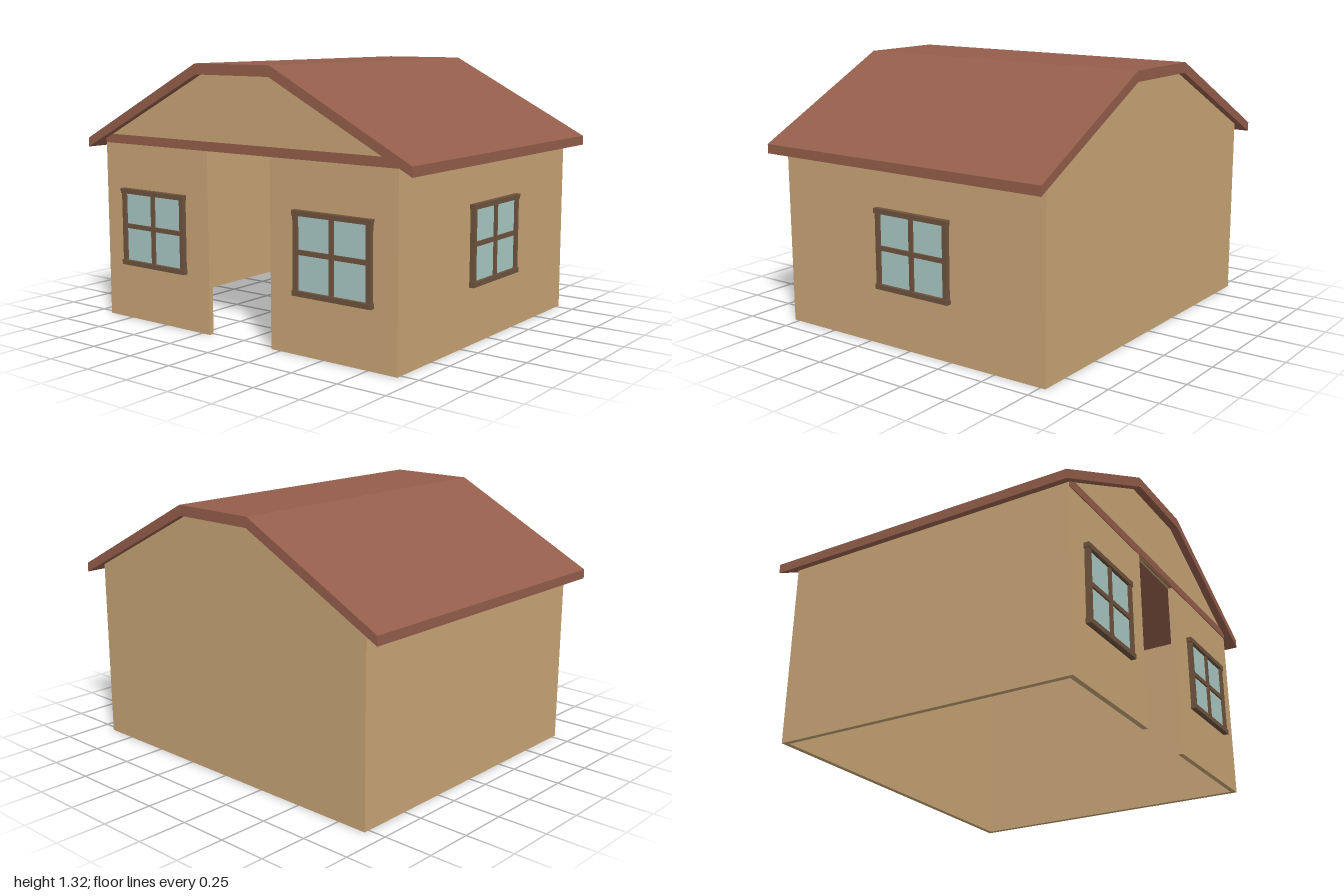
import * as THREE from 'three';

const mat = (color) => new THREE.MeshStandardMaterial({ color, flatShading: true });
const wallMat = mat(0xc8a576);
const roofMat = mat(0x945e4b);
const frameMat = mat(0x6f533e);
const glassMat = mat(0xaacac5);

const W = 0.907, D = 0.778, T = 0.025; // half width, half depth, wall thickness

function box(name, w, h, d, x, y, z, material) {
  const m = new THREE.Mesh(new THREE.BoxGeometry(w, h, d), material);
  m.name = name;
  m.position.set(x, y, z);
  return m;
}

// Extrudes an outline along z, from z0 over the given depth
function slab(name, points, z0, depth, material) {
  const shape = new THREE.Shape(points.map(([x, y]) => new THREE.Vector2(x, y)));
  const geo = new THREE.ExtrudeGeometry(shape, { depth, bevelEnabled: false });
  const m = new THREE.Mesh(geo, material);
  m.name = name;
  m.position.z = z0;
  return m;
}

// Four-pane window facing +z, its back on z = 0
function makeWindow(name) {
  const g = new THREE.Group();
  g.name = name;
  const w = 0.44, h = 0.395;
  g.add(box('glass', w - 0.03, h - 0.03, 0.012, 0, 0, 0.004, glassMat));
  for (const s of [-1, 1]) {
    g.add(box('rail', w, 0.025, 0.03, 0, s * (h / 2 - 0.0125), 0.012, frameMat));
    g.add(box('stile', 0.024, h - 0.04, 0.026, s * (w / 2 - 0.017), 0, 0.01, frameMat));
  }
  g.add(box('verticalBar', 0.023, h - 0.04, 0.022, 0, 0, 0.009, frameMat));
  g.add(box('horizontalBar', w - 0.04, 0.023, 0.02, 0, 0.005, 0.009, frameMat));
  return g;
}

export function createModel() {
  const house = new THREE.Group();
  house.name = 'house';

  // End walls with clipped gables; the front one has a doorway
  const gable = [[W, 0], [W, 0.93], [0.225, 1.275], [-0.225, 1.275], [-W, 0.93], [-W, 0]];
  const doorway = [[-0.197, 0], [-0.197, 0.905], [0.197, 0.905], [0.197, 0]];
  house.add(slab('backWall', gable, -D, T, wallMat));
  house.add(slab('frontWall', [...gable, ...doorway], D - T, T, wallMat));

  // Side walls
  for (const s of [-1, 1]) {
    house.add(box(s > 0 ? 'leftWall' : 'rightWall', T, 0.945, 2 * (D - T),
      s * (W - T / 2), 0.4725, 0, wallMat));
  }

  // Trim board across the front, at the foot of the gable
  house.add(box('frontTrim', 2 * W - 0.004, 0.045, 0.016, 0, 0.9275, D - 0.004, roofMat));

  // Roof shell with a flat ridge
  house.add(slab('roof', [
    [1, 0.878], [1, 0.925], [0.23, 1.322], [-0.23, 1.322], [-1, 0.925],
    [-1, 0.878], [-0.225, 1.27], [0.225, 1.27],
  ], -0.817, 1.634, roofMat));

  // Windows: two in front, one on the left side
  for (const s of [-1, 1]) {
    const win = makeWindow(s > 0 ? 'frontLeftWindow' : 'frontRightWindow');
    win.position.set(s * 0.562, 0.481, D);
    house.add(win);
  }
  const side = makeWindow('sideWindow');
  side.rotation.y = Math.PI / 2;
  side.position.set(W, 0.481, -0.035);
  house.add(side);

  return house;
}
